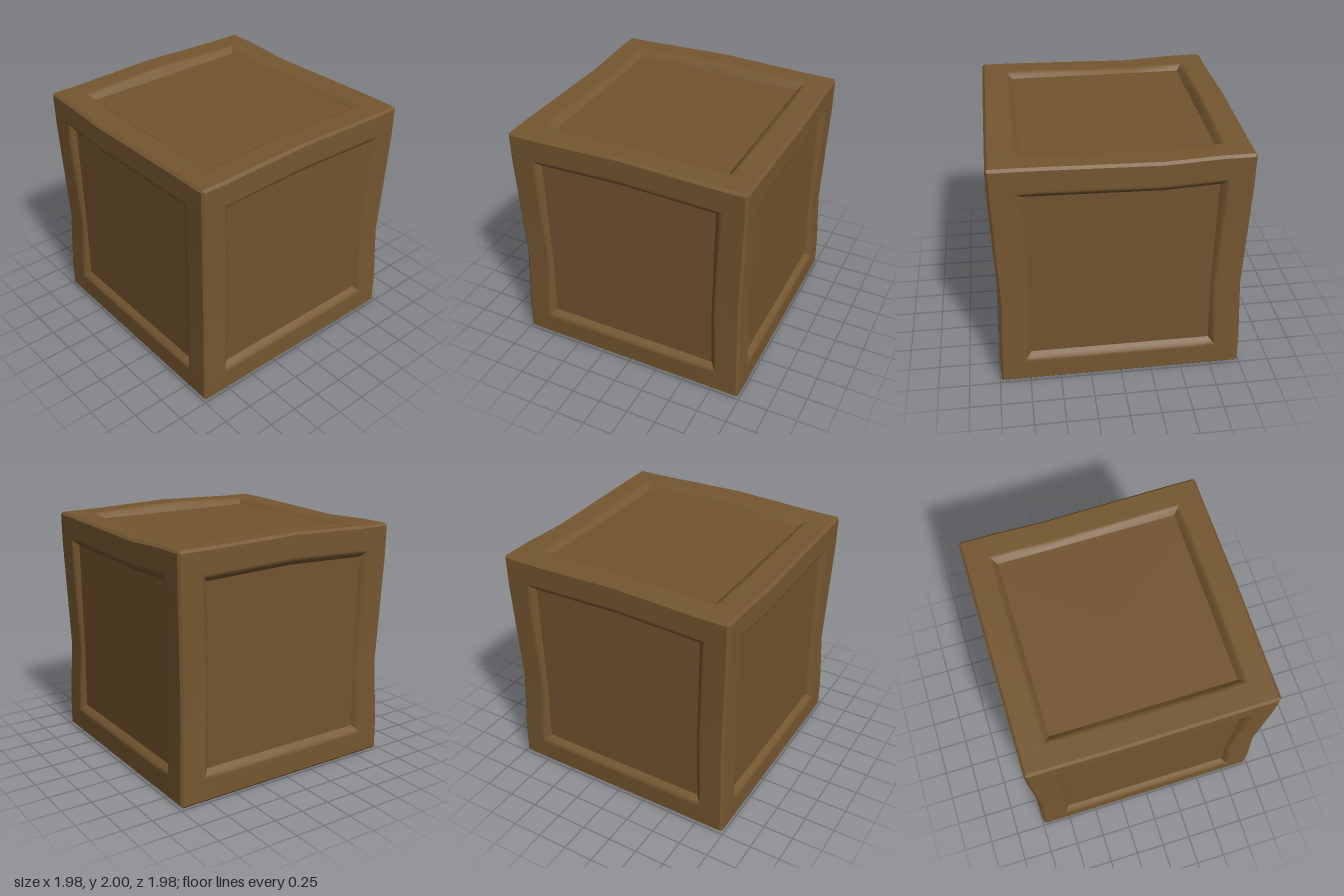
import * as THREE from 'three';
import { toCreasedNormals } from 'three/addons/utils/BufferGeometryUtils.js';

const HALF = 0.988;              // half size of the crate
const KINK = [-0.03, -0.2, -0.3]; // where the rails along x, y, z bend

// Frame profile from the chamfered outer edge to the sunken panel:
// distance from face centre, height from crate centre, share of the warp in depth
const RINGS = [
  [HALF - 0.01, HALF - 0.01, 1],
  [HALF - 0.02, HALF, 1],
  [0.805, HALF, 1],
  [0.79, HALF, 1],
  [0.776, HALF - 0.005, 0.9],
  [0.756, HALF - 0.024, 0.5],
  [0.733, HALF - 0.05, 0],
];

// 1 at the kink, falling in straight lines to 0 near the corners
function bend(value, axis) {
  const d = value - KINK[axis];
  return Math.max(0, 1 - Math.abs(d) / (d > 0 ? 0.76 - KINK[axis] : 0.76 + KINK[axis]));
}

// Hand-made warp: posts pinch inwards, front and back top rails rise, side top rails sag
function warp(p, axis, depthShare) {
  const [x, y, z] = p;
  const d = [0, 0, 0];
  const sideX = Math.abs(x) > 0.7, sideZ = Math.abs(z) > 0.7;
  if (sideX && sideZ) {
    const pinch = 0.026 * (0.5 + 0.5 * depthShare) * bend(y, 1);
    d[0] = -Math.sign(x) * pinch;
    d[2] = -Math.sign(z) * pinch;
  }
  if (y > 0.7 && sideZ) d[1] += 0.024 * bend(x, 0);
  if (y > 0.7 && sideX) d[1] -= 0.024 * bend(z, 2);
  d[axis] *= depthShare;
  return [x + d[0], y + d[1] + HALF, z + d[2]];
}

// One closed loop of points on a face, counter-clockwise seen along +axis
function makeRing(axis, sign, [r, h, share]) {
  const ua = (axis + 1) % 3, va = (axis + 2) % 3;
  const along = (a) => [-r, -0.75 * r, KINK[a], 0.75 * r];
  const uv = [
    ...along(ua).map((t) => [t, -r]),
    ...along(va).map((t) => [r, t]),
    ...[r, ...along(ua).slice(1).reverse()].map((t) => [t, r]),
    ...[r, ...along(va).slice(1).reverse()].map((t) => [-r, t]),
  ];
  return uv.map(([u, v]) => {
    const p = [0, 0, 0];
    p[axis] = sign * h;
    p[ua] = u;
    p[va] = v;
    return warp(p, axis, share);
  });
}

function toGeometry(points) {
  const g = new THREE.BufferGeometry();
  g.setAttribute('position', new THREE.Float32BufferAttribute(points.flat(), 3));
  g.computeVertexNormals();
  return g;
}

export function createModel() {
  const crate = new THREE.Group();
  crate.name = 'crate';
  const frameWood = new THREE.MeshStandardMaterial({ color: 0x755730 });
  frameWood.name = 'frame wood';
  const panelWood = new THREE.MeshStandardMaterial({ color: 0x73542f });
  panelWood.name = 'panel wood';

  const faces = [
    ['leftPanel', 0, 1], ['rightPanel', 0, -1],
    ['topPanel', 1, 1], ['bottomPanel', 1, -1],
    ['frontPanel', 2, 1], ['backPanel', 2, -1],
  ];
  const frame = [];

  for (const [name, axis, sign] of faces) {
    const put = (list, a, b, c) => list.push(...(sign > 0 ? [a, b, c] : [a, c, b]));
    const rings = RINGS.map((ring) => makeRing(axis, sign, ring));
    const n = rings[0].length;

    // Frame border, chamfer and rounded inner bevel
    for (let k = 0; k < rings.length - 1; k++) {
      for (let i = 0; i < n; i++) {
        const j = (i + 1) % n;
        put(frame, rings[k][i], rings[k][j], rings[k + 1][j]);
        put(frame, rings[k][i], rings[k + 1][j], rings[k + 1][i]);
      }
    }

    // Flat sunken panel
    const rim = rings[rings.length - 1];
    const centre = [0, HALF, 0];
    centre[axis] = rim[0][axis];
    const panel = [];
    for (let i = 0; i < n; i++) put(panel, centre, rim[i], rim[(i + 1) % n]);
    const panelMesh = new THREE.Mesh(toGeometry(panel), panelWood);
    panelMesh.name = name;
    crate.add(panelMesh);
  }

  const frameMesh = new THREE.Mesh(toCreasedNormals(toGeometry(frame), 0.5), frameWood);
  frameMesh.name = 'frame';
  crate.add(frameMesh);
  return crate;
}
